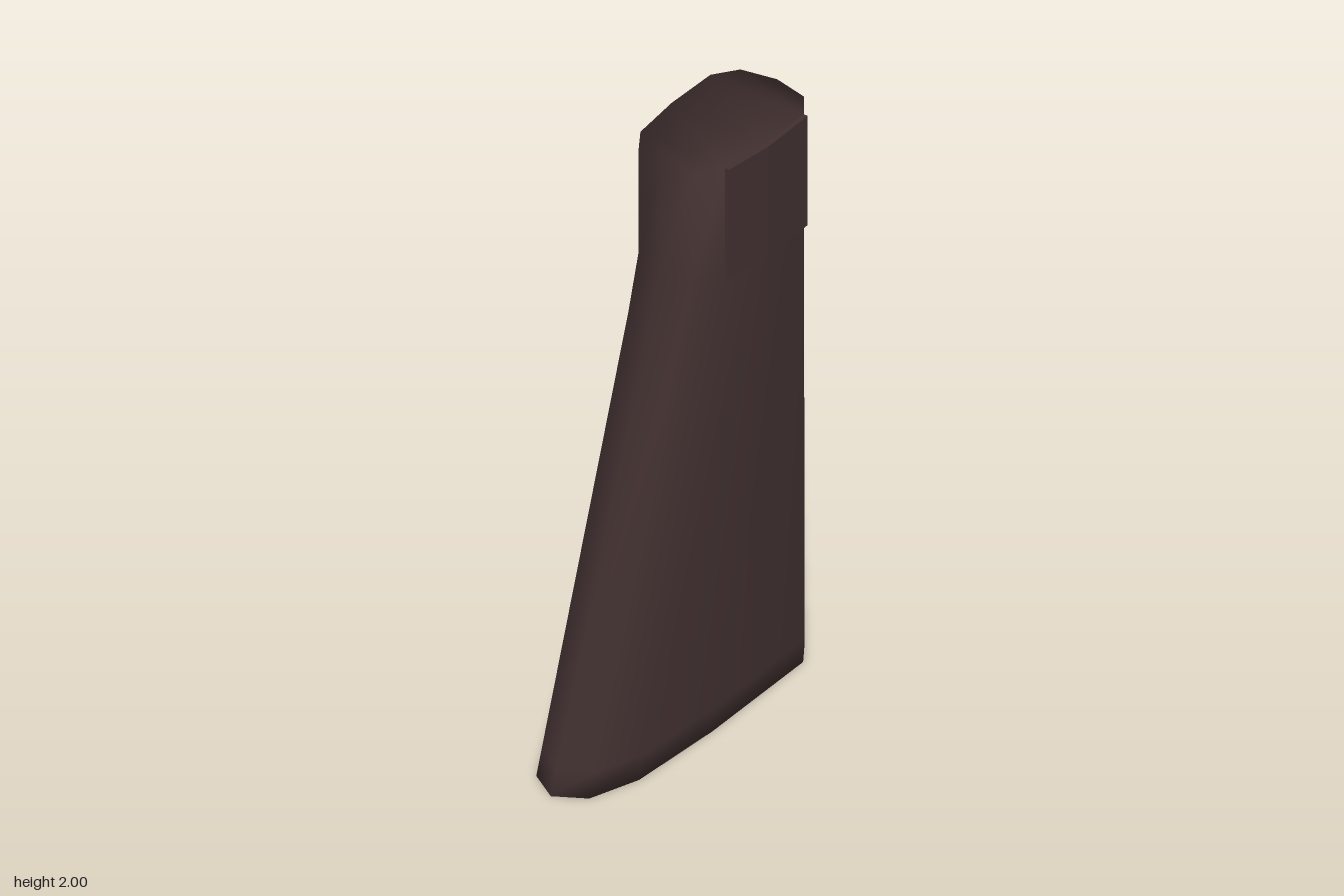
import * as THREE from 'three';

// Half outlines from front to back: [half width, z]
const BASE = [[0, 0.57], [0.1, 0.51], [0.16, 0.34], [0.18, 0], [0.175, -0.46], [0.12, -0.54], [0, -0.575]];
const NECK = [[0, 0.025], [0.1, 0], [0.16, -0.09], [0.178, -0.27], [0.175, -0.46], [0.12, -0.537], [0, -0.562]];
const CENTRE_X = -0.01;

const blend = (t) => BASE.map(([w, z], i) => [
  THREE.MathUtils.lerp(w, NECK[i][0], t),
  THREE.MathUtils.lerp(z, NECK[i][1], t),
]);

// Mirrors each half outline into a closed ring and skins the rings smoothly, with end caps
function loft(sections) {
  const half = BASE.length - 1;
  const n = half * 2;
  const positions = [];
  const index = [];
  for (const [y, outline] of sections) {
    for (let i = 0; i < n; i++) {
      const [w, z] = outline[i <= half ? i : n - i];
      positions.push(CENTRE_X + (i <= half ? w : -w), y, z);
    }
  }
  for (let s = 0; s < sections.length - 1; s++) {
    for (let i = 0; i < n; i++) {
      const a = s * n + i;
      const b = s * n + (i + 1) % n;
      index.push(a, b, b + n, a, b + n, a + n);
    }
  }
  const cap = (start, flip) => {
    const tri = (a, b, c) => index.push(start + a, start + (flip ? c : b), start + (flip ? b : c));
    tri(0, 1, n - 1);
    for (let k = 1; k < half - 1; k++) {
      tri(k, k + 1, n - k - 1);
      tri(k, n - k - 1, n - k);
    }
    tri(half - 1, half, half + 1);
  };
  cap(0, true);
  cap((sections.length - 1) * n, false);

  const geometry = new THREE.BufferGeometry();
  geometry.setAttribute('position', new THREE.Float32BufferAttribute(positions, 3));
  geometry.setIndex(index);
  geometry.computeVertexNormals();
  return geometry;
}

export function createModel() {
  const model = new THREE.Group();
  model.name = 'taperedGrip';
  const darkBrown = new THREE.MeshStandardMaterial({ color: 0x402f2f });
  darkBrown.name = 'darkBrown';

  // Flared body that narrows into a straight neck
  const body = new THREE.Mesh(loft([
    [0, BASE],
    [0.08, blend(0.05)],
    [1.6, NECK],
    [2, NECK],
  ]), darkBrown);
  body.name = 'body';
  model.add(body);

  // Raised pad on the left side of the neck
  const outline = [[0.165, -0.09], [0.185, -0.26], [0.18, -0.463], [0.145, -0.463], [0.145, -0.09]];
  const padShape = new THREE.Shape(outline.map(([x, z]) => new THREE.Vector2(x, -z)));
  const padGeometry = new THREE.ExtrudeGeometry(padShape, { depth: 0.399, bevelEnabled: false });
  padGeometry.rotateX(-Math.PI / 2).translate(0, 1.6, 0);
  const pad = new THREE.Mesh(padGeometry, darkBrown);
  pad.name = 'sidePad';
  model.add(pad);

  return model;
}
